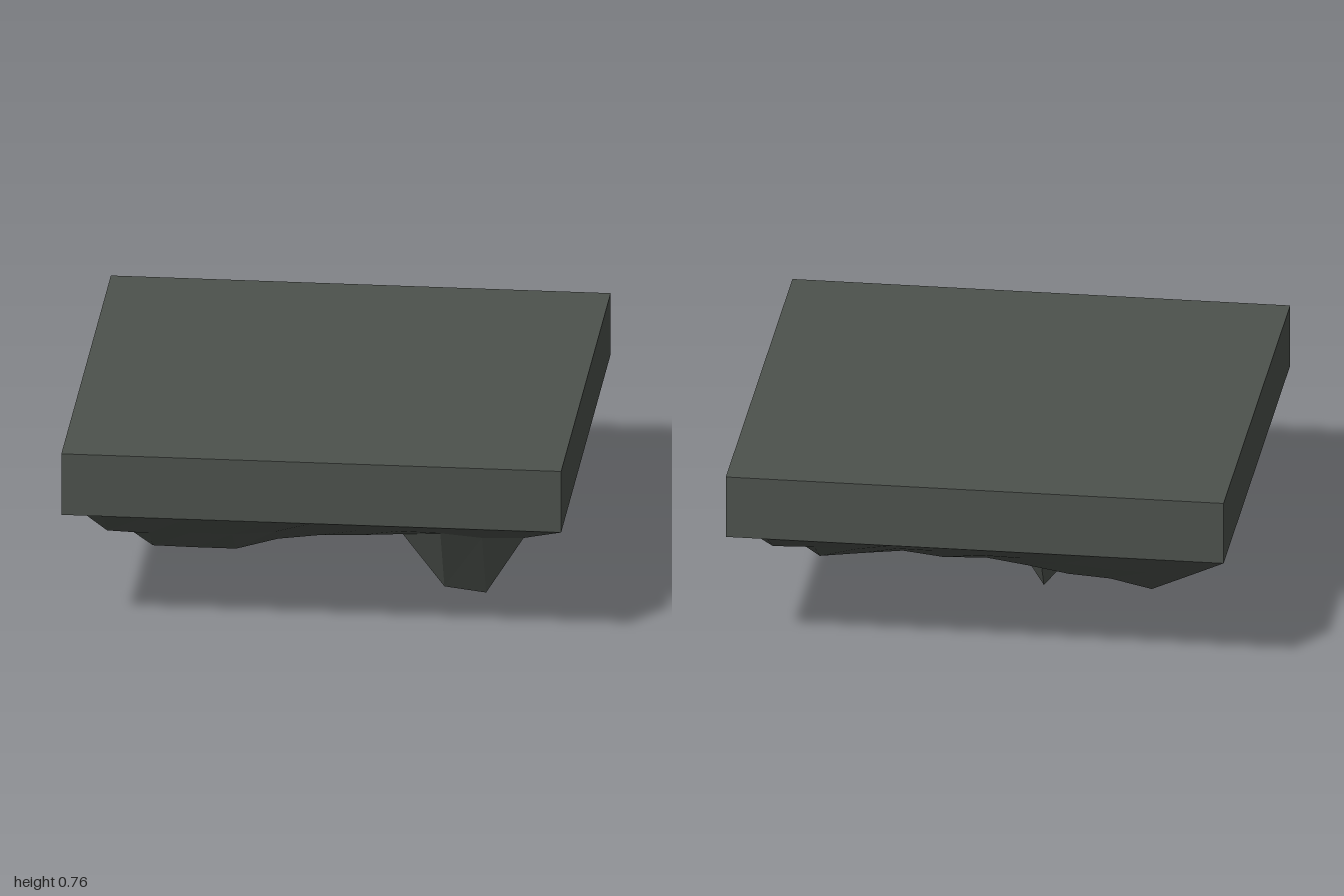
import * as THREE from 'three';

const TOP = 0.76, RIM = 0.5, N = 12;

// Coarse rock heights under the slab; rows run back to front, columns x from -2/3 to 2/3
const ROCK = [
  [0.23, 0.28, 0.32, 0.33, 0.30],
  [0.24, 0.25, 0.26, 0.29, 0.30],
  [0.23, 0.24, 0.26, 0.29, 0.335],
  [0.22, 0.235, 0.25, 0.29, 0.28],
  [0.25, 0.26, 0.33, 0.335, 0.31],
];

// Single grid points pulled down: [column, row, height], counted from the middle
const PEAKS = [
  [-1, -1, 0],      // centre spike
  [3, 4, 0.125],    // front double spike
  [4, 4, 0.105],
  [-4, 1, 0.205],   // low bulges
  [1, 2, 0.23],
];

// Bilinear sample of the rock heights, with a little unevenness
function rockHeight(i, j) {
  const u = (THREE.MathUtils.clamp(i, -4, 4) + 4) / 2;
  const v = (THREE.MathUtils.clamp(j, -4, 4) + 4) / 2;
  const c = Math.min(3, Math.floor(u)), r = Math.min(3, Math.floor(v));
  const lerp = THREE.MathUtils.lerp;
  const back = lerp(ROCK[r][c], ROCK[r][c + 1], u - c);
  const front = lerp(ROCK[r + 1][c], ROCK[r + 1][c + 1], u - c);
  return lerp(back, front, v - r) + 0.008 * Math.sin(i * 2.3 + j * 4.1);
}

function undersideHeight(i, j) {
  const peak = PEAKS.find(([a, b]) => a === i && b === j);
  if (peak) return peak[2];
  // Slope from the square rim down to the rock in two steps
  const inset = N / 2 - Math.max(Math.abs(i), Math.abs(j));
  return THREE.MathUtils.lerp(RIM, rockHeight(i, j), Math.min(1, inset / 2));
}

export function createModel() {
  const group = new THREE.Group();
  const stone = new THREE.MeshStandardMaterial({ color: 0x4d524d });
  stone.name = 'dark grey stone';

  // Square slab whose bottom face is pushed down into rough rock
  const box = new THREE.BoxGeometry(2, TOP - RIM, 2, N, 1, N);
  box.translate(0, (TOP + RIM) / 2, 0);
  const pos = box.attributes.position;
  for (let k = 0; k < pos.count; k++) {
    if (pos.getY(k) > RIM + 0.01) continue;
    const i = Math.round(pos.getX(k) * N / 2), j = Math.round(pos.getZ(k) * N / 2);
    pos.setY(k, undersideHeight(i, j));
  }

  // Faceted normals
  const geometry = box.toNonIndexed();
  geometry.clearGroups();
  geometry.computeVertexNormals();
  const platform = new THREE.Mesh(geometry, stone);
  platform.name = 'rockPlatform';
  group.add(platform);
  return group;
}
